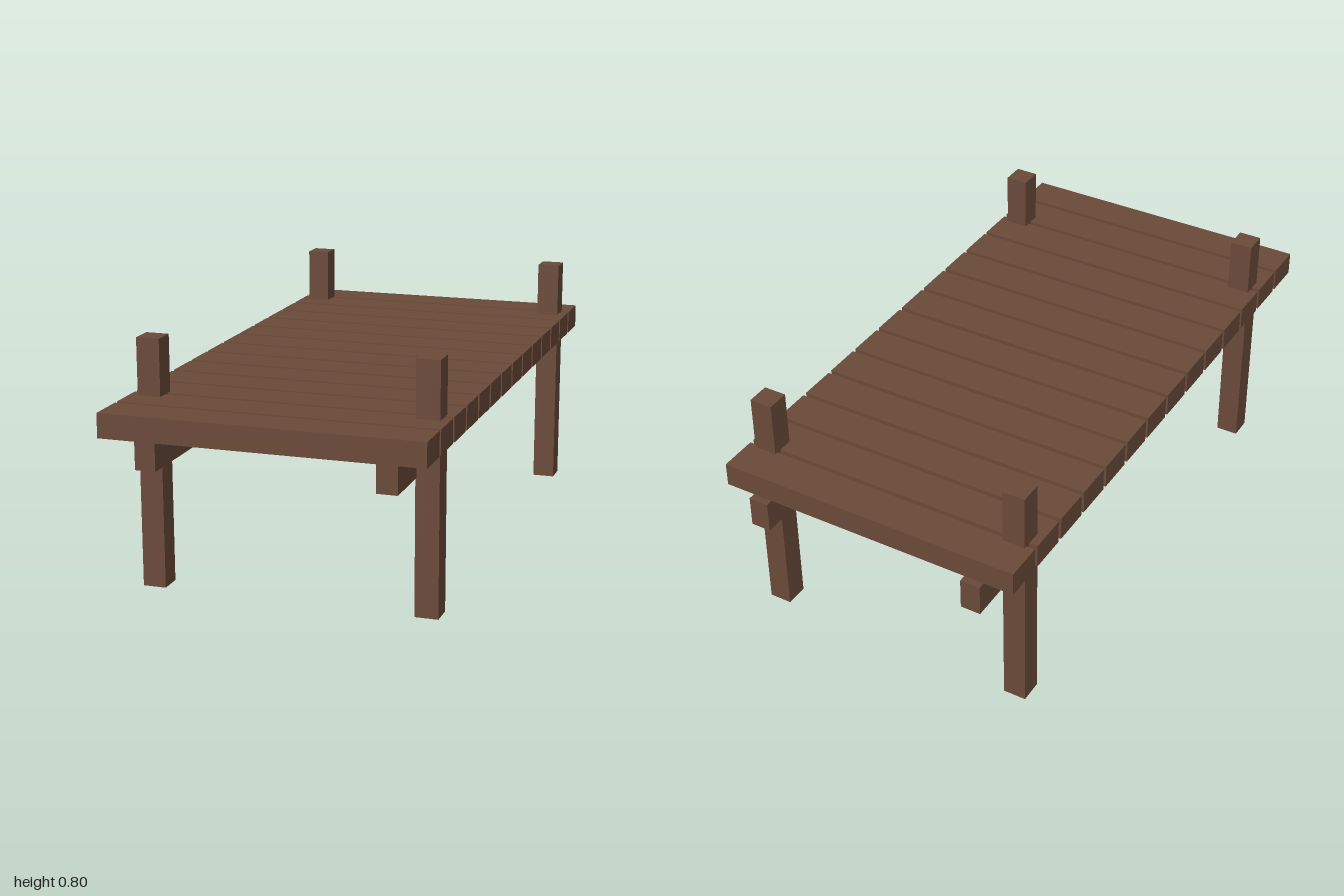
import * as THREE from 'three';

export function createModel() {
  const model = new THREE.Group();
  model.name = 'dock';
  const wood = new THREE.MeshStandardMaterial({ color: 0x6b4a3a });
  wood.name = 'brown wood';

  // Box given by its lower and upper limits on each axis
  function timber(name, [x0, x1], [y0, y1], [z0, z1]) {
    const mesh = new THREE.Mesh(new THREE.BoxGeometry(x1 - x0, y1 - y0, z1 - z0), wood);
    mesh.name = name;
    mesh.position.set((x0 + x1) / 2, (y0 + y1) / 2, (z0 + z1) / 2);
    model.add(mesh);
  }

  // Deck planks, evenly spaced with narrow gaps
  const plankCount = 14, plankDepth = 0.127, pitch = 0.1423;
  for (let i = 0; i < plankCount; i++) {
    const front = 1 - i * pitch;
    timber(`plank${i + 1}`, [-0.51, 0.51], [0.54, 0.618], [front - plankDepth, front]);
  }

  // Mirrored beams and posts
  for (const [side, s] of [['left', 1], ['right', -1]]) {
    const span = (a, b) => (s > 0 ? [a, b] : [-b, -a]);
    timber(`${side}Beam`, span(0.345, 0.411), [0.438, 0.54], [-1, 0.956]);
    timber(`${side}FrontPost`, span(0.407, 0.482), [0, 0.8], [0.694, 0.769]);
    timber(`${side}BackPost`, span(0.407, 0.482), [0, 0.8], [-0.861, -0.786]);
  }
  return model;
}
